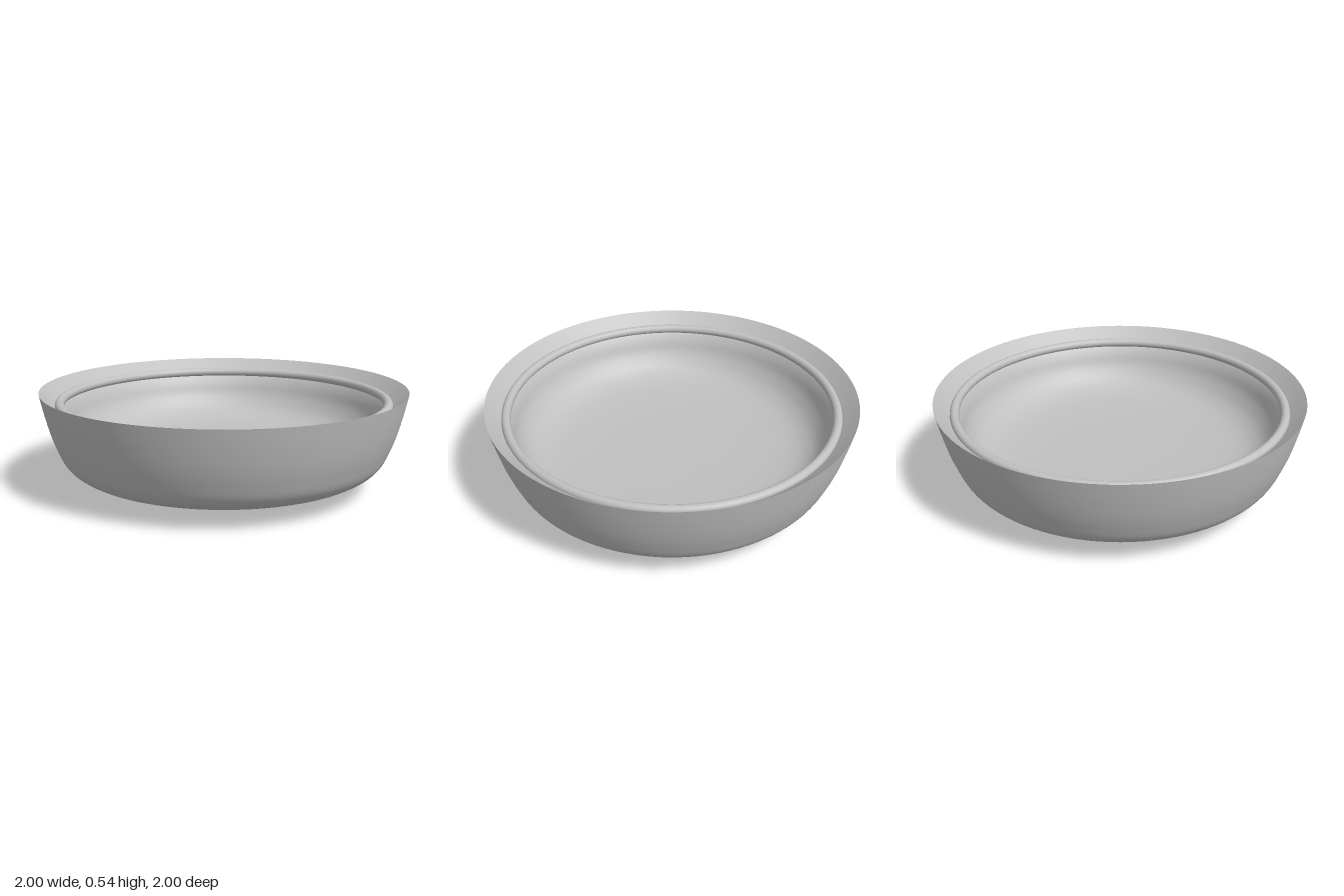
import * as THREE from 'three';

const SEGMENTS = 96;

// Smooth surface of revolution through a few [radius, height] points
function revolve(points, samples) {
  const curve = new THREE.SplineCurve(points.map(([r, y]) => new THREE.Vector2(r, y)));
  const profile = curve.getPoints(samples);
  profile.forEach((p) => { p.x = Math.max(p.x, 0); });
  return new THREE.LatheGeometry(profile, SEGMENTS);
}

export function createModel() {
  const model = new THREE.Group();
  model.name = 'bowl';
  const glaze = new THREE.MeshStandardMaterial({ color: 0xc0c0c0 });
  glaze.name = 'grey glaze';

  const add = (name, geometry, y = 0) => {
    const mesh = new THREE.Mesh(geometry, glaze);
    mesh.name = name;
    mesh.position.y = y;
    model.add(mesh);
  };
  const ring = (radius, tube) => new THREE.TorusGeometry(radius, tube, 16, SEGMENTS).rotateX(-Math.PI / 2);

  // Outer wall: slightly raised underside, rounded shoulder, flared side
  add('outerWall', revolve([
    [0, 0.112], [0.25, 0.1], [0.5, 0.091], [0.74, 0.09], [0.82, 0.112], [0.88, 0.165],
    [0.92, 0.25], [0.95, 0.335], [0.978, 0.44], [1, 0.54],
  ], 48));

  // Inner wall: bevelled lip, steep side, shallow floor
  add('innerWall', revolve([
    [1, 0.54], [0.95, 0.495], [0.9, 0.45], [0.868, 0.4], [0.835, 0.32],
    [0.77, 0.245], [0.66, 0.2], [0.45, 0.18], [0.2, 0.173], [0, 0.171],
  ], 48));

  // Bead inside the lip and foot ring below the base
  add('lipBead', ring(0.893, 0.025), 0.467);
  add('footRing', ring(0.325, 0.02), 0.02);

  return model;
}
